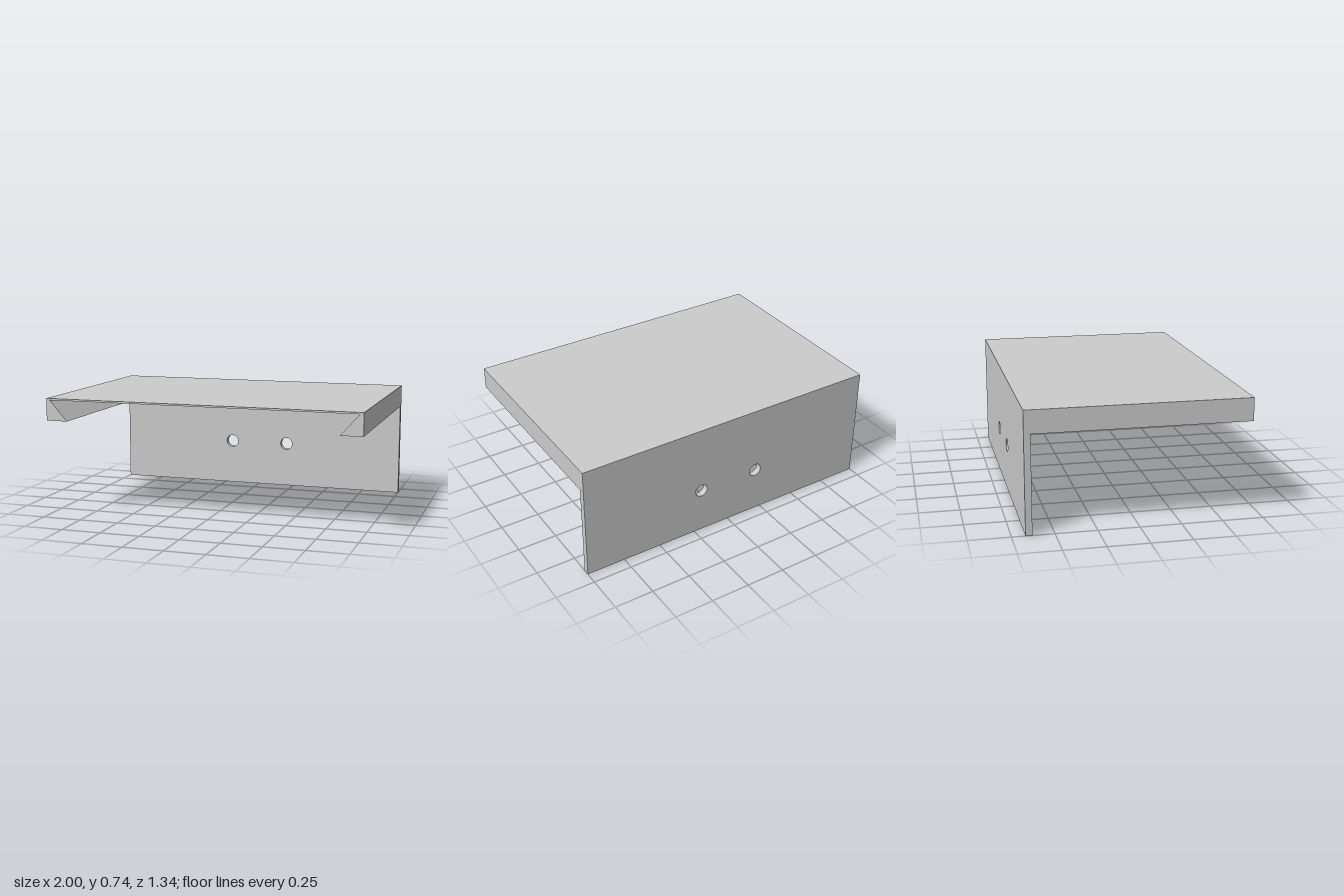
import * as THREE from 'three';
import { toCreasedNormals } from 'three/addons/utils/BufferGeometryUtils.js';

const BACK = -0.67, FRONT = 0.67, PLATE = 0.04, TOP = 0.74, RAIL = 0.6;

export function createModel() {
  const group = new THREE.Group();
  const material = new THREE.MeshStandardMaterial({ color: 0xcccccc });

  // Extrudes a front outline along z and adds it as a named part
  const addPart = (name, shape, z0, z1) => {
    const geometry = new THREE.ExtrudeGeometry(shape, {
      depth: z1 - z0, bevelEnabled: false, curveSegments: 32,
    });
    geometry.translate(0, 0, z0);
    const mesh = new THREE.Mesh(toCreasedNormals(geometry, 0.6), material);
    mesh.name = name;
    group.add(mesh);
  };
  const outline = (points) => new THREE.Shape(points.map(([x, y]) => new THREE.Vector2(x, y)));

  // Upright mounting plate with two screw holes
  const plate = outline([[-1, 0], [1, 0], [1, TOP], [-1, TOP]]);
  for (const x of [-0.2, 0.2]) {
    plate.holes.push(new THREE.Path().absarc(x, 0.3, 0.042, 0, Math.PI * 2, true));
  }
  addPart('backPlate', plate, BACK, BACK + PLATE);

  // Thin shelf with dovetail rails undercut along both sides
  const shelf = outline([
    [-1, RAIL], [-0.862, RAIL], [-0.977, 0.729], [0.977, 0.729],
    [0.862, RAIL], [1, RAIL], [1, TOP], [-1, TOP],
  ]);
  addPart('dovetailShelf', shelf, BACK + PLATE, FRONT);

  return group;
}
